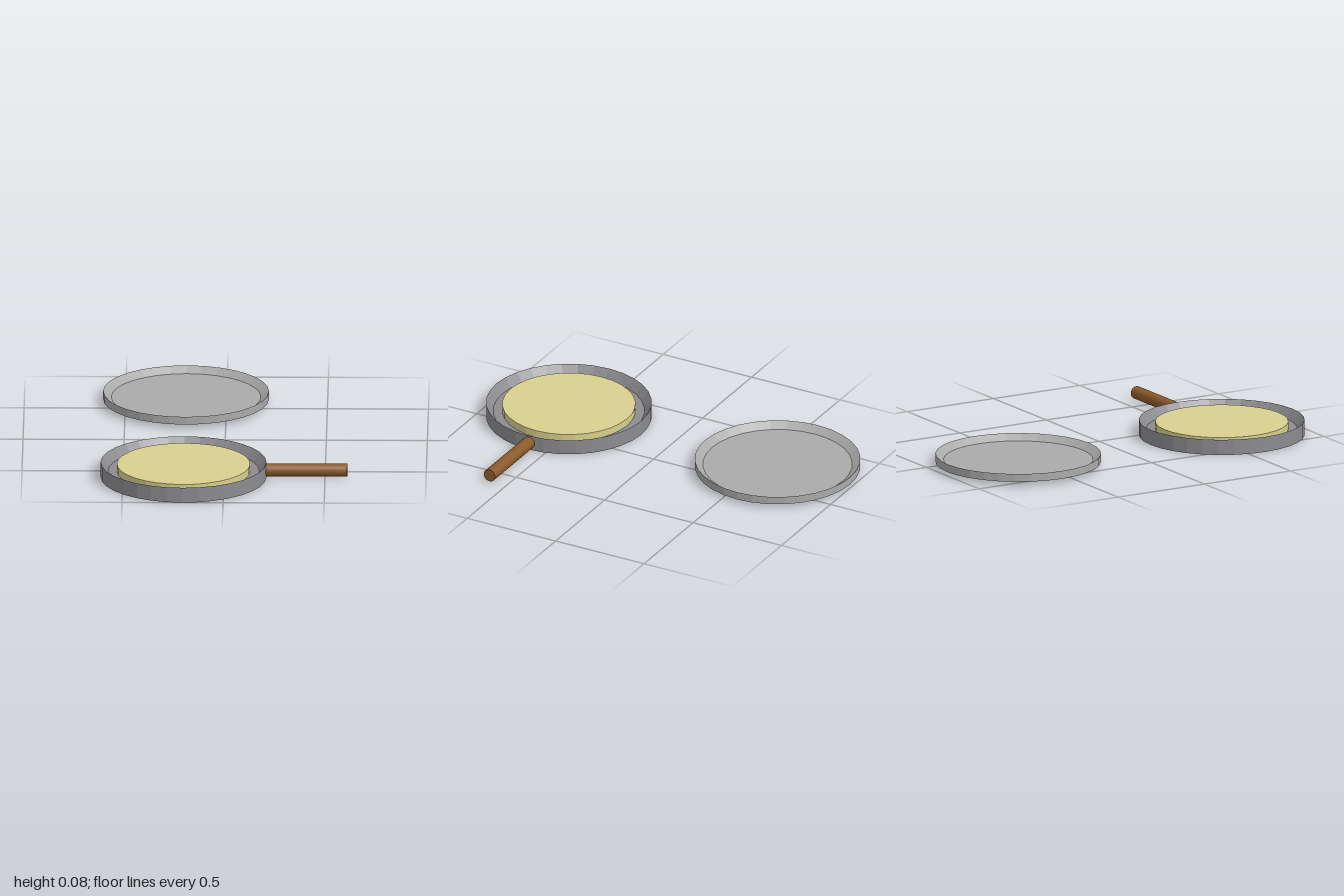
import * as THREE from 'three';

const X = -0.2, Z = 0.59, R = 0.41;

function part(name, geometry, color, x, y, z) {
  const material = new THREE.MeshStandardMaterial({ color, flatShading: name !== 'handle' });
  const mesh = new THREE.Mesh(geometry, material);
  mesh.name = name;
  mesh.position.set(x, y, z);
  return mesh;
}

// Shallow round dish: flat base, upright outer wall, inner wall sloping to the floor
function dish(height, floorRadius, floorHeight) {
  const profile = [[0, 0], [R, 0], [R, height], [floorRadius, floorHeight], [0, floorHeight]];
  return new THREE.LatheGeometry(profile.map(([r, y]) => new THREE.Vector2(r, y)), 32);
}

export function createModel() {
  const model = new THREE.Group();
  model.name = 'panWithLid';

  // Pan with its round filling
  model.add(part('pan', dish(0.077, 0.375, 0.03), 0x8c8c90, X, 0, Z));
  model.add(part('filling', new THREE.CylinderGeometry(0.33, 0.33, 0.038, 32), 0xd9d08e, X, 0.049, Z));

  // Handle pointing sideways from the pan wall
  const handle = new THREE.CylinderGeometry(0.032, 0.032, 0.405, 24).rotateZ(-Math.PI / 2);
  model.add(part('handle', handle, 0x8b5a2b, 0.4075, 0.038, Z));

  // Lid lying upside down behind the pan, slightly raised
  model.add(part('lid', dish(0.04, 0.37, 0.01), 0xaaaaaa, X, 0.02, -Z));

  return model;
}
